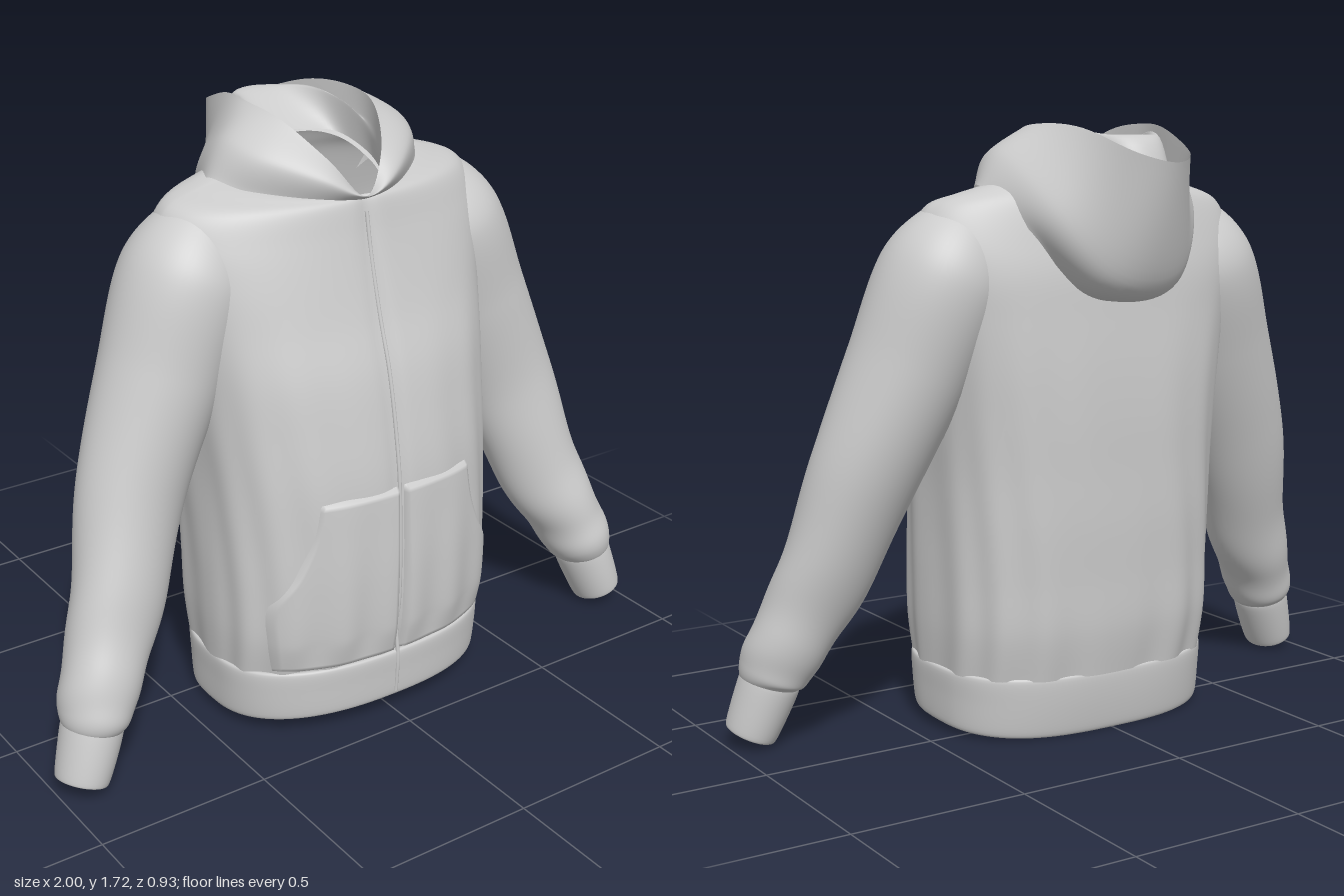
import * as THREE from 'three';

const material = new THREE.MeshStandardMaterial({ color: 0xcccccc, roughness: 0.9, side: THREE.DoubleSide });

// Smooth interpolation through rows of numbers, t in row units
function sample(rows, t) {
  const last = rows.length - 1;
  const i = Math.max(0, Math.min(last - 1, Math.floor(t)));
  const f = t - i;
  const a = rows[Math.max(0, i - 1)], b = rows[i], c = rows[i + 1], d = rows[Math.min(last, i + 2)];
  return b.map((_, k) => 0.5 * (2 * b[k] + (c[k] - a[k]) * f
    + (2 * a[k] - 5 * b[k] + 4 * c[k] - d[k]) * f * f
    + (3 * b[k] - a[k] - 3 * c[k] + d[k]) * f * f * f));
}

// Surface from f(u, v) -> [x, y, z]; closed surfaces wrap around in u.
// Quads whose corners are all cut away are left out.
function loft(name, nu, nv, f, { closed = true, cut = () => false } = {}) {
  const pos = [], gone = [], index = [], cols = closed ? nu : nu + 1;
  for (let j = 0; j <= nv; j++) {
    for (let i = 0; i < cols; i++) {
      const p = f(i / nu, j / nv);
      pos.push(...p);
      gone.push(cut(p));
    }
  }
  for (let j = 0; j < nv; j++) {
    for (let i = 0; i < nu; i++) {
      const k = (i + 1) % cols;
      const a = j * cols + i, b = j * cols + k, c = a + cols, d = b + cols;
      if (!(gone[a] && gone[b] && gone[c] && gone[d])) index.push(a, c, b, b, c, d);
    }
  }
  const g = new THREE.BufferGeometry();
  g.setAttribute('position', new THREE.Float32BufferAttribute(pos, 3));
  g.setIndex(index);
  g.computeVertexNormals();
  const mesh = new THREE.Mesh(g, material);
  mesh.name = name;
  return mesh;
}

// Body rings: y at back, half width, front z, back z, side z, front roundness, drop towards the front
const bodyRows = [
  [0.165, 0.43, 0.425, -0.20, 0.15, 2.4, -0.025],
  [0.30, 0.438, 0.442, -0.22, 0.15, 2.5, 0],
  [0.45, 0.44, 0.447, -0.225, 0.145, 2.5, 0],
  [0.60, 0.44, 0.443, -0.23, 0.135, 2.5, 0],
  [0.75, 0.442, 0.434, -0.23, 0.12, 2.5, 0],
  [0.90, 0.45, 0.41, -0.23, 0.10, 2.5, 0],
  [1.04, 0.46, 0.38, -0.225, 0.075, 2.55, 0],
  [1.18, 0.478, 0.335, -0.215, 0.05, 2.5, 0],
  [1.30, 0.502, 0.302, -0.205, 0.03, 2.3, 0],
  [1.40, 0.515, 0.278, -0.185, 0.02, 2.0, 0],
  [1.50, 0.475, 0.262, -0.16, 0.02, 1.8, 0.02],
  [1.55, 0.38, 0.252, -0.14, 0.02, 1.7, 0.05],
  [1.59, 0.27, 0.245, -0.12, 0.02, 1.8, 0.09],
  [1.59, 0.16, 0.235, -0.105, 0.02, 2, 0.11],
];

// Point on a rounded ring; the back is squarer than the front
function ringPoint(row, angle, fold = 0) {
  const [y, w, front, back, side, round, drop] = row;
  const c = Math.cos(angle), s = Math.sin(angle);
  const n = s > 0 ? round : round + 0.4 * Math.min(1, -s * 4);
  const px = Math.sign(c) * Math.abs(c) ** (2 / n), pz = Math.sign(s) * Math.abs(s) ** (2 / n);
  const depth = s > 0 ? front - side : side - back;
  return [px * (w + fold), y - drop * (s + 1) / 2, side + pz * (depth + fold)];
}

// Soft vertical folds, strongest above the hem
const foldAt = (angle, y) => 0.006 * Math.sin(angle * 16 + Math.sin(y * 5) * 1.2) * Math.max(0, 1 - y / 1.25);

// Body ring at a given height
function bodyAt(y) {
  let i = 0;
  while (i < bodyRows.length - 3 && bodyRows[i + 1][0] < y) i++;
  const y0 = bodyRows[i][0], y1 = bodyRows[i + 1][0];
  return sample(bodyRows, i + Math.min(1, (y - y0) / (y1 - y0)));
}

// Depth of the body's front at a given x and height
function frontZ(x, y) {
  const [, w, front, , side, n] = bodyAt(y);
  return side + (front - side) * (1 - Math.min(1, Math.abs(x) / w) ** n) ** (1 / n);
}

// True a little below the body's surface
function insideBody([x, y, z]) {
  const [, w, front, back, side, n] = bodyAt(y + 0.03);
  const depth = z > side ? front - side : side - back;
  return (Math.abs(x) / w) ** n + (Math.abs(z - side) / depth) ** n < 0.9;
}

// Sleeve stations: centre x, y, z, radius across, radius in depth
const sleeveRows = [
  [0.36, 1.425, 0.02, 0.125, 0.13],
  [0.43, 1.295, 0.028, 0.178, 0.188],
  [0.525, 1.05, 0.052, 0.176, 0.165],
  [0.645, 0.765, 0.09, 0.158, 0.132],
  [0.745, 0.475, 0.158, 0.133, 0.115],
  [0.828, 0.30, 0.207, 0.112, 0.113],
  [0.868, 0.205, 0.233, 0.1, 0.108],
  [0.88, 0.165, 0.239, 0.08, 0.086],
];
const cuffRows = [
  [0.872, 0.19, 0.235, 0.075, 0.08],
  [0.878, 0.175, 0.238, 0.085, 0.09],
  [0.905, 0.10, 0.25, 0.081, 0.088],
  [0.93, 0.032, 0.26, 0.073, 0.081],
  [0.928, 0.04, 0.259, 0.066, 0.074],
  [0.895, 0.13, 0.245, 0.072, 0.08],
];

// True a little below the surface of the upper sleeves
function insideSleeve([px, py, pz]) {
  for (let t = 0; t < 3; t += 0.08) {
    const [x, y, z, r, d] = sample(sleeveRows, t);
    const dx = Math.abs(px) - x, dy = py - y;
    const across = dx * 0.92 + dy * 0.39, along = dx * 0.39 - dy * 0.92;
    if (Math.abs(along) < 0.02 && (across / r) ** 2 + ((pz - z) / d) ** 2 < 0.85) return true;
  }
  return false;
}

function limb(name, rows, side, nv, { wrinkle = () => 0, axis, cut } = {}) {
  const last = rows.length - 1;
  return loft(name, 56, nv, (u, v) => {
    const t = v * last, a = u * side * Math.PI * 2;
    const [x, y, z, r, d] = sample(rows, t);
    const p = sample(rows, Math.max(0, t - 0.05)), q = sample(rows, Math.min(last, t + 0.05));
    const dir = axis ?? new THREE.Vector3(q[0] - p[0], q[1] - p[1], q[2] - p[2]).normalize();
    const across = new THREE.Vector3(-dir.y, dir.x, 0).normalize();
    const deep = across.clone().cross(dir);
    const k = 1 + wrinkle(a * side, v);
    const point = new THREE.Vector3(x, y, z)
      .addScaledVector(across, r * k * Math.cos(a)).addScaledVector(deep, d * k * Math.sin(a));
    return [point.x * side, point.y, point.z];
  }, { cut });
}

// Half rings of the hood, front centre to back centre
const hoodHalves = [
  [[0, 1.49, 0.245], [0.13, 1.495, 0.215], [0.28, 1.525, 0.1], [0.33, 1.54, -0.02], [0.26, 1.42, -0.165], [0.14, 1.265, -0.2], [0, 1.225, -0.205]],
  [[0, 1.505, 0.272], [0.12, 1.555, 0.24], [0.25, 1.615, 0.11], [0.275, 1.63, -0.04], [0.235, 1.49, -0.225], [0.13, 1.32, -0.33], [0, 1.275, -0.355]],
  [[0, 1.5, 0.255], [0.085, 1.6, 0.205], [0.15, 1.69, 0.08], [0.165, 1.712, -0.06], [0.135, 1.7, -0.22], [0.085, 1.635, -0.41], [0, 1.61, -0.47]],
  [[0, 1.49, 0.245], [0.085, 1.56, 0.2], [0.15, 1.63, 0.08], [0.155, 1.64, -0.05], [0.125, 1.57, -0.22], [0.075, 1.5, -0.37], [0, 1.48, -0.41]],
  [[0, 1.485, 0.24], [0.09, 1.53, 0.2], [0.15, 1.59, 0.08], [0.15, 1.66, -0.04], [0.12, 1.69, -0.17], [0.07, 1.68, -0.28], [0, 1.68, -0.31]],
  [[0, 1.48, 0.24], [0.11, 1.5, 0.18], [0.158, 1.53, 0.08], [0.158, 1.56, -0.01], [0.135, 1.58, -0.08], [0.07, 1.59, -0.105], [0, 1.59, -0.11]],
];

function hoodLayer(name, halves, nv) {
  const curves = halves.map((half) => {
    const mirrored = half.slice(1, -1).reverse().map(([x, y, z]) => [-x, y, z]);
    return new THREE.CatmullRomCurve3([...half, ...mirrored].map((p) => new THREE.Vector3(...p)), true, 'catmullrom', 0.5);
  });
  return loft(name, 96, nv, (u, v) =>
    sample(curves.map((c) => c.getPoint((1 - u) % 1).toArray()), v * (curves.length - 1)));
}

export function createModel() {
  const model = new THREE.Group();
  model.name = 'hoodedJacket';

  // Body, open at the armholes
  model.add(loft('body', 160, 90, (u, v) => {
    const a = u * Math.PI * 2;
    const row = sample(bodyRows, v * (bodyRows.length - 1));
    const p = ringPoint(row, a, foldAt(a, row[0]));
    if (p[2] > 0.1) p[2] -= 0.01 * Math.exp(-((p[0] / 0.025) ** 2));
    return p;
  }, { cut: insideSleeve }));

  // Hem band, turned in at the lower edge
  const hemRows = [
    [0.16, 0.422, 0.42, -0.185, 0.15, 2.4, -0.025],
    [0.01, 0.42, 0.42, -0.17, 0.14, 2.4, -0.05],
    [0.005, 0.43, 0.43, -0.18, 0.14, 2.4, -0.05],
    [0.09, 0.434, 0.435, -0.195, 0.15, 2.4, -0.035],
    [0.165, 0.435, 0.437, -0.20, 0.15, 2.4, -0.025],
    [0.17, 0.418, 0.42, -0.185, 0.15, 2.4, -0.025],
  ];
  model.add(loft('hemBand', 120, 30, (u, v) => ringPoint(sample(hemRows, v * 5), u * Math.PI * 2)));

  // Zip down the middle of the front
  const zipPoints = [new THREE.Vector3(0, 0.06, 0.43), new THREE.Vector3(0, 0.17, 0.436)];
  for (let y = 0.26; y < 1.5; y += 0.1) zipPoints.push(new THREE.Vector3(0, y, frontZ(0, y) - 0.009));
  const zip = new THREE.Mesh(
    new THREE.TubeGeometry(new THREE.CatmullRomCurve3(zipPoints), 80, 0.006, 8), material);
  zip.name = 'zip';
  model.add(zip);

  // Pocket outline: y, outer x
  const pocketEdge = [[0.20, 0.36], [0.30, 0.375], [0.41, 0.375], [0.51, 0.315], [0.61, 0.272], [0.72, 0.25]];

  const cuffAxis = new THREE.Vector3(0.34, -0.92, 0.16).normalize();
  // Sleeve creases gathering towards the wrist
  const wrinkle = (a, v) =>
    0.035 * Math.sin(v * 34 + 2 * Math.sin(a)) * THREE.MathUtils.smoothstep(v, 0.35, 0.7) * (1 - v * v * v)
    + 0.02 * Math.sin(3 * a + v * 9) * Math.sin(Math.PI * v);

  for (const side of [1, -1]) {
    const label = side > 0 ? 'left' : 'right';

    // Pocket half, raised from the body and closed at its borders
    model.add(loft(label + 'Pocket', 40, 40, (u, v) => {
      const [y, edge] = sample(pocketEdge, v * 5);
      const x = 0.01 + (edge - 0.01) * (side > 0 ? 1 - u : u);
      const border = u === 0 || u === 1 || v === 0 || v === 1;
      const puff = 0.007 * Math.sin(x * 42) * (1 - v) * Math.min(1, v * 6);
      return [x * side, y, frontZ(x, y) + (border ? -0.004 : 0.012 + puff)];
    }, { closed: false }));

    model.add(limb(label + 'Sleeve', sleeveRows, side, 98, { wrinkle, cut: insideBody }));
    model.add(limb(label + 'Cuff', cuffRows, side, 25, { axis: cuffAxis }));
  }

  // Hood lying on the back: outer layer, and lining folding down to the neck
  model.add(hoodLayer('hoodOuter', hoodHalves.slice(0, 3), 24));
  model.add(hoodLayer('hoodLining', hoodHalves.slice(2), 30));
  return model;
}
